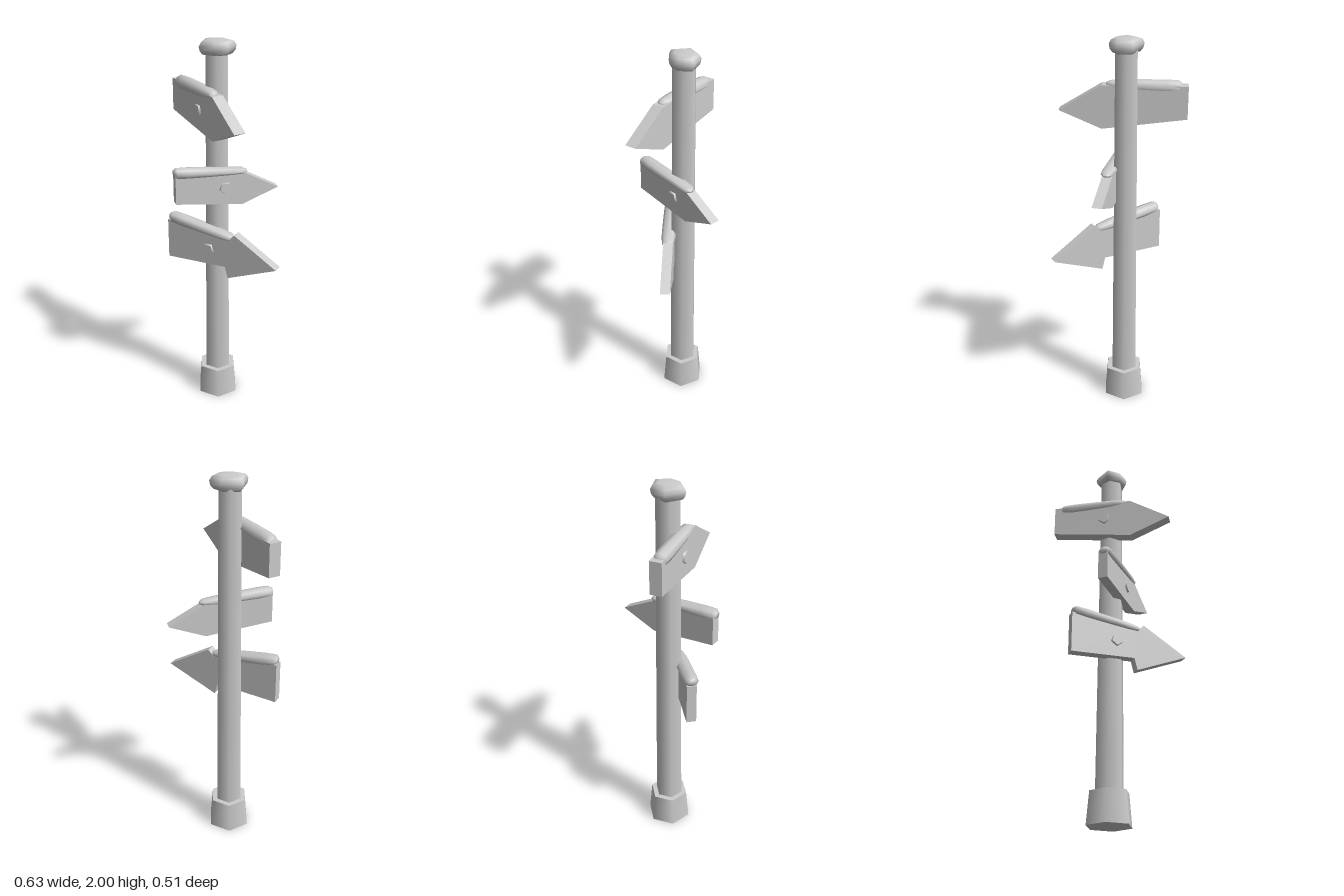
import * as THREE from 'three';

const material = new THREE.MeshStandardMaterial({ color: 0xcccccc });
const { degToRad, lerp } = THREE.MathUtils;

function part(name, geometry, x = 0, y = 0, z = 0) {
  const mesh = new THREE.Mesh(geometry, material);
  mesh.name = name;
  mesh.position.set(x, y, z);
  return mesh;
}

// Smooth closed skin over a list of equal-sized rings of [x, y, z] points
function loft(rings) {
  const n = rings[0].length, m = rings.length;
  const pos = rings.flat(2), index = [];
  const centre = (ring) => [0, 1, 2].map((k) => ring.reduce((sum, p) => sum + p[k], 0) / n);
  pos.push(...centre(rings[0]), ...centre(rings[m - 1]));
  for (let j = 0; j < n; j++) {
    const k = (j + 1) % n;
    for (let i = 0; i < m - 1; i++) {
      const a = i * n, b = a + n;
      index.push(a + j, b + j, a + k, b + j, b + k, a + k);
    }
    index.push(m * n, j, k, m * n + 1, (m - 1) * n + k, (m - 1) * n + j);
  }
  const geometry = new THREE.BufferGeometry();
  geometry.setAttribute('position', new THREE.Float32BufferAttribute(pos, 3));
  geometry.setIndex(index);
  geometry.computeVertexNormals();
  return geometry;
}

// Snow roll between two points: tapers in height, rounded at both ends
function snowRoll([x0, y0], [x1, y1], h0, h1) {
  const sections = [[0, 0.55], [0.04, 0.95], [0.2, 1.05], [0.5, 1.05], [0.8, 1], [0.95, 0.85], [1, 0.4]];
  return loft(sections.map(([t, swell]) => Array.from({ length: 8 }, (_, j) => {
    const a = (j / 8) * Math.PI * 2;
    return [
      lerp(x0, x1, t),
      lerp(y0, y1, t) + lerp(h0, h1, t) * swell * Math.sin(a),
      0.003 + 0.037 * swell * Math.cos(a),
    ];
  })));
}

// Arrow board with a five-sided nail on its face and snow on its top edge
function sign(name, [x, z], angle, depth, outline, nail, snow) {
  const group = new THREE.Group();
  group.name = name;
  group.position.set(x, 0, z);
  group.rotation.y = degToRad(angle);

  const shape = new THREE.Shape(outline.map(([u, v]) => new THREE.Vector2(u, v)));
  const board = new THREE.ExtrudeGeometry(shape, { depth, bevelEnabled: false });
  group.add(part('board', board, 0, 0, -depth / 2));

  const head = new THREE.CylinderGeometry(0.03, 0.034, 0.012, 5);
  head.rotateX(Math.PI / 2);
  group.add(part('nail', head, nail[0], nail[1], depth / 2 + 0.004));
  group.add(part('boardSnow', snow));
  return group;
}

export function createModel() {
  const model = new THREE.Group();
  model.name = 'signpost';
  const cx = -0.048, cz = -0.055, turn = degToRad(14);

  // Hexagonal foot and tapered post
  model.add(part('base', new THREE.CylinderGeometry(0.103, 0.118, 0.165, 6, 1, false, turn), cx, 0.0825, cz));
  model.add(part('post', new THREE.CylinderGeometry(0.061, 0.074, 1.82, 6, 1, false, turn), cx, 1.06, cz));

  // Lumpy snow cap: an uneven hexagon scaled up its height
  const rim = [[-0.075, -0.055], [0.025, -0.08], [0.09, -0.03], [0.065, 0.045], [0.005, 0.07], [-0.077, 0.05]];
  const levels = [[1.933, 0.8], [1.95, 0.95], [1.972, 1], [1.992, 0.88], [2, 0.6]];
  const cap = loft(levels.map(([y, s]) => rim.map(([x, z]) => [x * s, y, z * s])));
  model.add(part('postSnow', cap, -0.045, 0, -0.05));

  // Three boards pointing different ways
  model.add(sign('topSign', [-0.084, -0.002], -48.2, 0.06,
    [[-0.318, 1.593], [0.106, 1.54], [0.318, 1.633], [0.106, 1.76], [-0.318, 1.758]],
    [-0.038, 1.66], snowRoll([-0.288, 1.747], [0.085, 1.757], 0.036, 0.026)));
  model.add(sign('middleSign', [0.01, -0.017], 28.8, 0.052,
    [[-0.27, 1.207], [0.081, 1.17], [0.27, 1.245], [0.081, 1.345], [-0.27, 1.36]],
    [-0.013, 1.27], snowRoll([-0.275, 1.366], [0.105, 1.346], 0.03, 0.016)));
  model.add(sign('bottomSign', [0.002, 0.03], -15.4, 0.05,
    [[-0.316, 0.828], [0.024, 0.843], [0.041, 0.78], [0.316, 0.892], [0.078, 1.036], [0.047, 1.005], [-0.316, 1.045]],
    [-0.073, 0.927], snowRoll([-0.31, 1.06], [0.066, 1.009], 0.031, 0.022)));
  return model;
}
